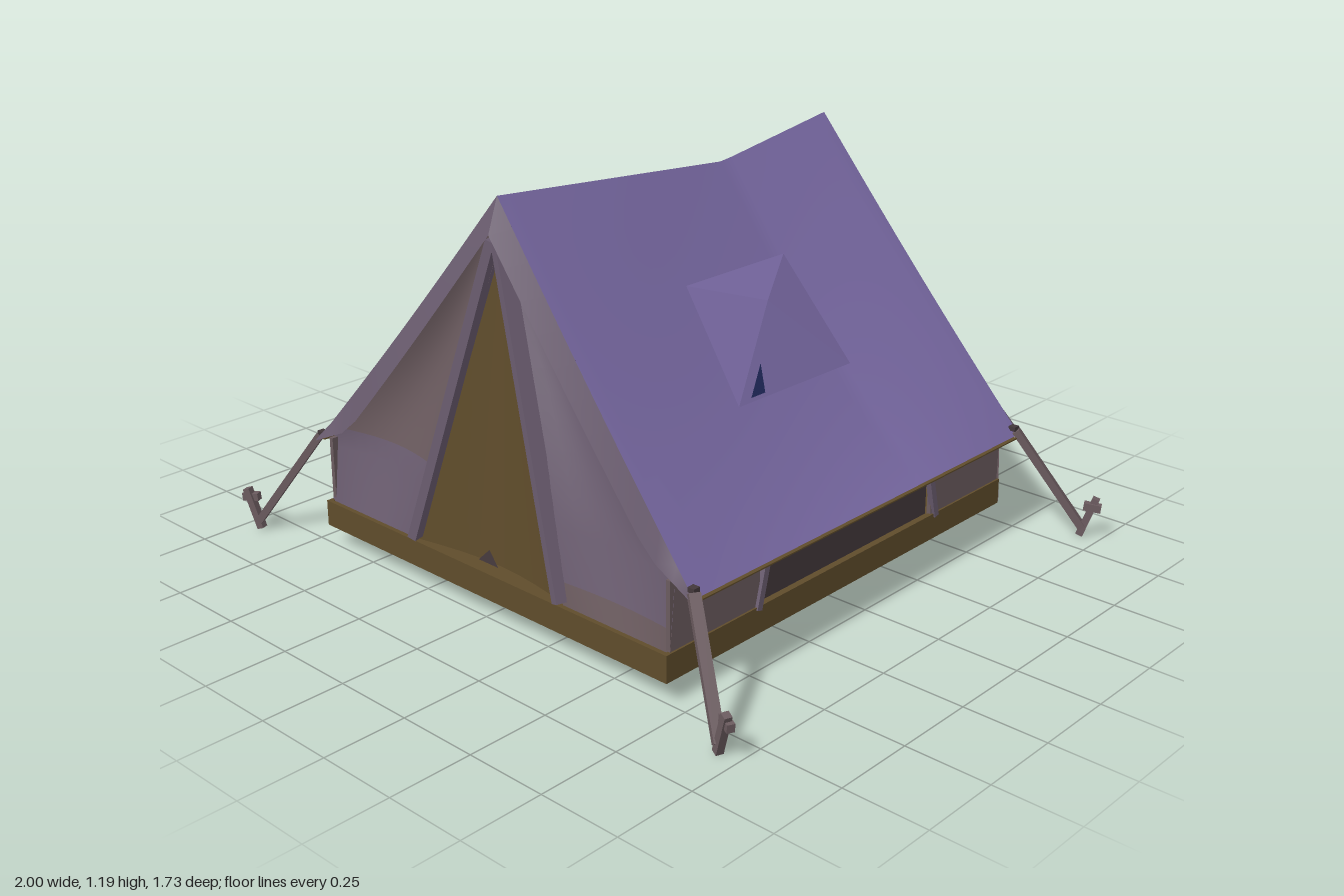
import * as THREE from 'three';
import { ParametricGeometry } from 'three/addons/geometries/ParametricGeometry.js';

const V = (x, y, z) => new THREE.Vector3(x, y, z);
const mat = (name, color) => {
  const m = new THREE.MeshStandardMaterial({ color, side: THREE.DoubleSide });
  m.name = name;
  return m;
};

// Roof rules: slope to the eaves, sagging ridge, panels dented around the vents
const EAVE = 0.76;
const ridgeSag = z => 0.07 * Math.max(0, z > -0.23 ? (0.66 - z) / 0.89 : (z + 0.71) / 0.48);
const dent = (x, z) => Math.sin(Math.PI * x / EAVE) * (0.012 + 0.025 * Math.cos(Math.PI * z / 1.5) ** 2);
const roofY = (x, z) => 1.19 - 1.158 * x - ridgeSag(z) * (1 - (x / EAVE) ** 4) - dent(x, z);
const frontEdge = x => 0.66 + 0.07 * x / EAVE;
const backEdge = x => -0.71 - 0.025 * x / EAVE;

// Gable rules: half width and depth at a height
const gable = y => 0.69 * Math.min(1, (1.16 - y) / 0.8);
const frontZ = y => 0.748 - 0.1 * (y - 0.06) / 1.1;
const backZ = y => -0.757 + 0.09 * (y - 0.06) / 1.1;

export function createModel() {
  const model = new THREE.Group();
  model.name = 'tent';
  const canvas = mat('purple canvas', 0x7667a0);
  const wall = mat('brown mauve cloth', 0x6b5b5f);
  const mauve = mat('purple mauve cloth', 0x6b5d70);
  const brown = mat('brown cloth', 0x5f4c2b);
  const dark = mat('dark cloth', 0x43383b);
  const navy = mat('navy window', 0x1d2656);

  const add = (name, geo, m) => {
    const mesh = new THREE.Mesh(geo, m);
    mesh.name = name;
    model.add(mesh);
    return mesh;
  };
  const sheet = (name, m, nu, nv, f) =>
    add(name, new ParametricGeometry((u, v, t) => t.copy(f(u, v)), nu, nv), m);
  const box = (name, m, w, h, d, x, y, z) =>
    add(name, new THREE.BoxGeometry(w, h, d), m).position.set(x, y, z);
  const beam = (name, m, a, b, w, h) => {
    const mesh = add(name, new THREE.BoxGeometry(w, h, a.distanceTo(b)), m);
    mesh.position.copy(a).lerp(b, 0.5);
    mesh.lookAt(b);
  };
  const facets = (name, m, points) => {
    const g = new THREE.BufferGeometry().setFromPoints(points);
    g.computeVertexNormals();
    add(name, g, m);
  };

  // Ground sheet: raised floor inside a brown skirt with a mauve lining in front
  box('floor', brown, 1.37, 0.04, 1.47, 0, 0.11, 0.01);
  box('frontSkirt', brown, 1.39, 0.08, 0.014, 0, 0.1, 0.753);
  box('frontSkirtLining', wall, 1.36, 0.07, 0.005, 0, 0.097, 0.743);

  // Front wall panel on one side of the door, between two heights
  const frontWall = (s, m, y0, y1, rows) =>
    sheet('frontWall', m, 10, rows, (u, v) => {
      const y = y0 + (y1 - y0) * v;
      const inner = 0.3 * Math.max(0, (1.06 - y) / 0.92);
      const x = THREE.MathUtils.lerp(inner, Math.max(gable(y), inner), s > 0 ? u : 1 - u);
      const hollow = 0.055 * Math.sin(Math.PI * u) * Math.sin(Math.PI * (y - 0.13) / 1.03);
      return V(s * x, y, frontZ(y) - hollow);
    });
  frontWall(-1, mauve, 0.13, 0.37, 4);
  frontWall(-1, wall, 0.37, 1.16, 12);
  frontWall(1, wall, 0.13, 0.2, 2);
  frontWall(1, mauve, 0.2, 1.16, 14);

  for (const s of [-1, 1]) {
    // Roof panel
    sheet('roofPanel', canvas, 16, 28, (u, v) => {
      const x = (s > 0 ? u : 1 - u) * EAVE;
      const z = THREE.MathUtils.lerp(frontEdge(x), backEdge(x), v);
      return V(s * x, roofY(x, z), z);
    });

    // Hanging edge strips at both ends of the roof
    for (const e of [1, -1]) {
      sheet('roofEdge', mauve, 12, 1, (u, v) => {
        const a = s * e > 0 ? u : 1 - u;
        const x = a * EAVE, taper = Math.min(1, (1 - a) * 5);
        const z = e > 0 ? frontEdge(x) : backEdge(x);
        const out = (e > 0 ? 0.035 : 0.025) * (1 - 0.6 * a);
        return V(s * x, roofY(x, z) - 0.1 * taper * v, z + e * out * v);
      });
    }
    box('eaveTrim', brown, 0.014, 0.004, 1.42, s * 0.763, 0.306, 0);

    // Side skirt and wall, with a dark opening set back between two straps
    box('sideSkirt', brown, 0.014, 0.08, 1.5, s * 0.688, 0.1, 0.005);
    box('sideWall', wall, 0.014, 0.21, 0.35, s * 0.682, 0.235, 0.565);
    box('sideWall', wall, 0.014, 0.21, 0.35, s * 0.682, 0.235, -0.565);
    box('sideOpening', dark, 0.006, 0.21, 0.8, s * 0.66, 0.235, 0);
    beam('sideStrap', mauve, V(s * 0.69, 0.13, 0.4), V(s * 0.69, 0.33, 0.35), 0.018, 0.02);
    beam('sideStrap', mauve, V(s * 0.69, 0.13, -0.41), V(s * 0.69, 0.33, -0.36), 0.018, 0.02);

    beam('doorFrame', mauve, V(s * 0.3, 0.145, 0.745), V(s * 0.012, 1.07, 0.665), 0.045, 0.028);

    // Curtain folds gathered under the back peak
    facets('backFold', mauve, [
      V(0, 1.08, -0.7), V(s * 0.18, 0.5, -0.72), V(s * 0.13, 0.82, -0.7),
      V(0, 1.08, -0.7), V(s * 0.1, 0.78, -0.68), V(s * 0.18, 0.5, -0.72),
    ]);
    facets('backFoldLining', brown, [
      V(0, 1.08, -0.69), V(s * 0.09, 0.66, -0.71), V(s * 0.12, 0.8, -0.685),
    ]);

    // Roof vent: flaps drawn up to a raised point
    const A = V(s * 0.24, 0.885, 0.19), B = V(s * 0.24, 0.885, -0.23);
    const C = V(s * 0.48, 0.605, 0.24), D = V(s * 0.48, 0.6, -0.25);
    const P = V(s * 0.35, 0.815, -0.03);
    facets('ventHood', canvas, s > 0 ? [A, P, B] : [A, B, P]);
    facets('ventFlap', canvas, s > 0 ? [A, C, P, B, P, D] : [A, P, C, B, D, P]);
    if (s > 0) {
      facets('ventLowerFlap', canvas, [C, D, P]);
      const onFlap = (a, b) => V(0.006, 0.005, 0).add(C).addScaledVector(D.clone().sub(C), a)
        .addScaledVector(P.clone().sub(C), b);
      facets('ventWindow', navy, [onFlap(0.08, 0.04), onFlap(0.2, 0.04), onFlap(0.08, 0.36)]);
    } else {
      facets('ventWindow', navy, [C, V(-0.35, roofY(0.35, -0.03) + 0.04, -0.03), D]);
    }

    // Guy lines, eyelets and pegs at the corners
    for (const e of [1, -1]) {
      beam('guyLine', wall, V(s * 0.755, 0.325, e * 0.725), V(s * 0.94, 0.025, e * 0.836), 0.032, 0.022);
      box('eyelet', dark, 0.022, 0.014, 0.022, s * 0.75, 0.332, e * 0.72);
      beam('peg', wall, V(s * 0.935, 0, e * 0.835), V(s * 0.975, 0.125, e * 0.85), 0.022, 0.022);
      beam('pegHook', wall, V(s * 0.945, 0.1, e * 0.83), V(s * 0.992, 0.095, e * 0.853), 0.022, 0.024);
    }
  }

  // Door cloth set behind the frame
  sheet('door', brown, 8, 10, (u, v) => {
    const y = 0.13 + 0.93 * v;
    const x = (u * 2 - 1) * 0.3 * (1.06 - y) / 0.92;
    return V(x, y, frontZ(y) - 0.012 - 0.04 * Math.sin(Math.PI * u) * (1 - v));
  });
  facets('doorGap', dark, [V(-0.04, 0.155, 0.735), V(0.04, 0.155, 0.735), V(0, 0.195, 0.73)]);

  // Back wall, drawn in towards the middle
  sheet('backWall', wall, 16, 16, (u, v) => {
    const y = 0.06 + 1.1 * v;
    const x = (1 - 2 * u) * gable(y);
    return V(x, y, backZ(y) + 0.09 * Math.sin(Math.PI * u) * Math.sin(Math.PI * v) ** 1.5);
  });

  return model;
}
